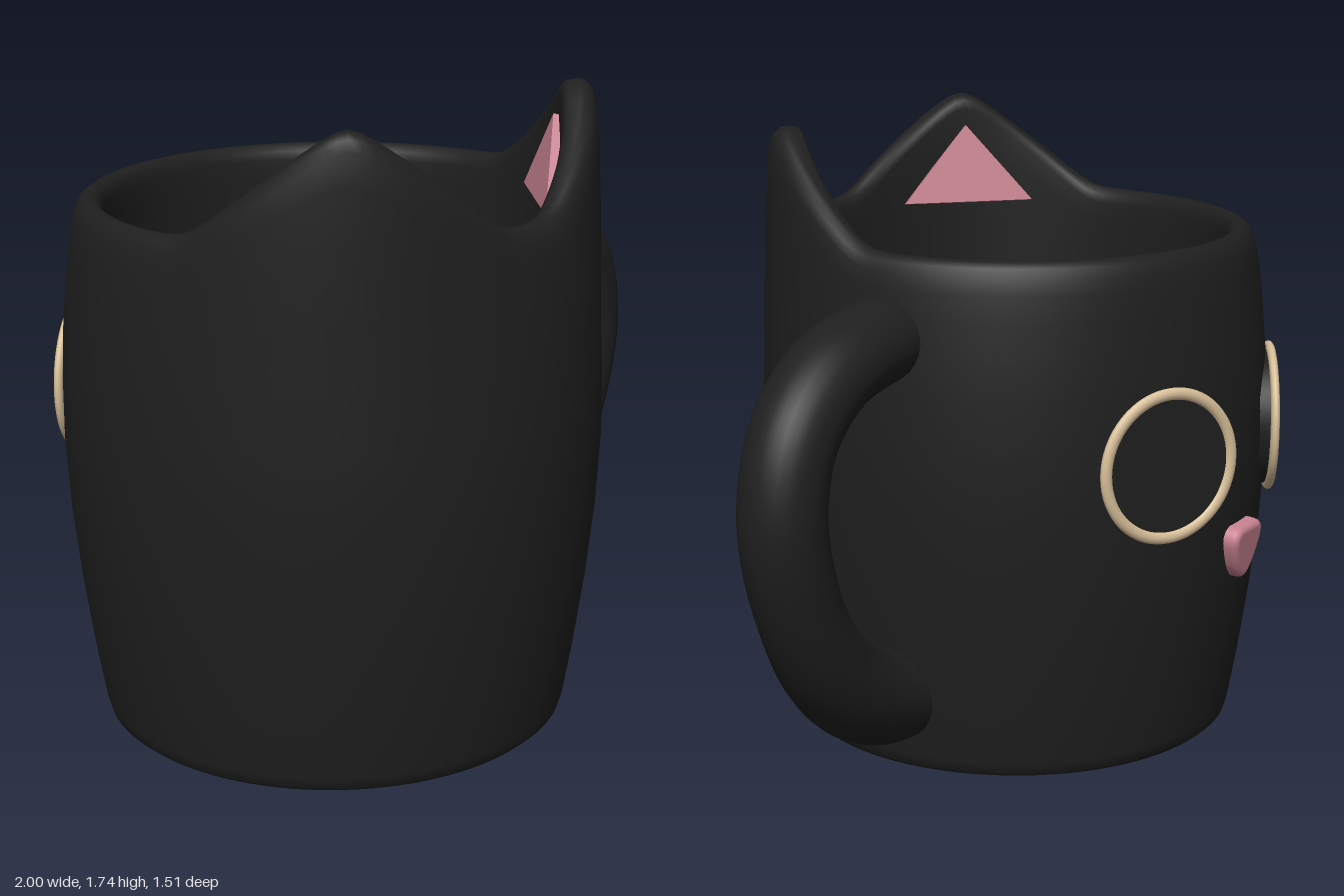
import * as THREE from 'three';
import { mergeVertices } from 'three/addons/utils/BufferGeometryUtils.js';

const mat = (name, color) => {
  const m = new THREE.MeshStandardMaterial({ color });
  m.name = name;
  return m;
};
const black = mat('matte black', 0x1f1f1f);
const tan = mat('tan', 0xd9c09a);
const pink = mat('dusty pink', 0xc98391);

const mesh = (name, geometry, material, parent) => {
  const m = new THREE.Mesh(geometry, material);
  m.name = name;
  parent.add(m);
  return m;
};

// Merge seams so that computed normals are smooth all round
function smooth(geometry) {
  geometry.deleteAttribute('uv');
  geometry.deleteAttribute('normal');
  const g = mergeVertices(geometry, 1e-4);
  g.computeVertexNormals();
  return g;
}

// Height fraction of the ears at an angle from +z: a rounded peak at 45 degrees each side
function earBump(phi) {
  const t = (Math.abs(phi) - Math.PI / 4) / THREE.MathUtils.degToRad(37);
  const s = 1 - Math.sqrt(t * t + 0.01);
  return (s + Math.sqrt(s * s + 0.01)) / 2 / 0.903;
}

// Hollow barrel whose rim is lifted into two ears
function cupGeometry() {
  const profile = [
    [0, 0], [0.3, 0], [0.6, 0], [0.622, 0.004], [0.638, 0.018], [0.647, 0.05],
    [0.672, 0.2], [0.7, 0.4], [0.721, 0.6], [0.732, 0.8], [0.731, 0.95], [0.724, 1.1],
    [0.715, 1.2], [0.704, 1.3], [0.694, 1.37], [0.685, 1.41], [0.672, 1.438],
    [0.655, 1.451], [0.64, 1.454], [0.624, 1.449], [0.612, 1.434], [0.607, 1.41],
    [0.605, 1.36], [0.604, 1.25], [0.604, 1.1], [0.6, 0.8], [0.585, 0.4], [0.565, 0.18],
    [0.55, 0.13], [0.52, 0.1], [0.3, 0.1], [0, 0.1],
  ].map(([r, y]) => new THREE.Vector2(r, y));
  const g = new THREE.LatheGeometry(profile, 144);
  const p = g.attributes.position;
  for (let i = 0; i < p.count; i++) {
    const x = p.getX(i), y = p.getY(i), z = p.getZ(i);
    const lift = earBump(Math.atan2(x, z)) * THREE.MathUtils.clamp((y - 1.1) / 0.31, 0, 1);
    const r = Math.hypot(x, z);
    const k = r > 0.63 ? 1 + 0.025 * lift : 1;
    p.setXYZ(i, x * k, y + 0.29 * lift, z * k);
  }
  return smooth(g);
}

// Curved grip, a little thicker where it joins the cup
function handleGeometry() {
  const path = new THREE.CatmullRomCurve3([
    [0.38, 1.232], [0.47, 1.232], [0.68, 1.185], [0.83, 1.06], [0.885, 0.875],
    [0.85, 0.67], [0.74, 0.45], [0.6, 0.31], [0.46, 0.24], [0.37, 0.225],
  ].map(([x, y]) => new THREE.Vector3(x, y, 0)));
  const rows = 64, sides = 28;
  const g = new THREE.TubeGeometry(path, rows, 0.116, sides);
  const p = g.attributes.position, v = new THREE.Vector3();
  for (let i = 0; i < p.count; i++) {
    const t = Math.floor(i / (sides + 1)) / rows;
    const c = path.getPointAt(t);
    const low = THREE.MathUtils.smoothstep(t, 0.6, 0.92);
    const high = 1 - THREE.MathUtils.smoothstep(t, 0.1, 0.4);
    v.fromBufferAttribute(p, i).sub(c).multiplyScalar(1 + 0.17 * low);
    v.z *= 1 + 0.1 * high;
    v.add(c);
    p.setXYZ(i, v.x, v.y, v.z);
  }
  return smooth(g);
}

// Soft inverted triangle
function noseGeometry() {
  const s = new THREE.Shape();
  s.moveTo(-0.05, 0.062);
  s.lineTo(0.05, 0.062);
  s.quadraticCurveTo(0.074, 0.058, 0.066, 0.03);
  s.quadraticCurveTo(0.045, -0.035, 0.012, -0.06);
  s.quadraticCurveTo(0, -0.066, -0.012, -0.06);
  s.quadraticCurveTo(-0.045, -0.035, -0.066, 0.03);
  s.quadraticCurveTo(-0.074, 0.058, -0.05, 0.062);
  return smooth(new THREE.ExtrudeGeometry(s, {
    depth: 0.03, bevelEnabled: true, bevelSize: 0.018, bevelThickness: 0.02, bevelSegments: 5, curveSegments: 8,
  }));
}

export function createModel() {
  const model = new THREE.Group();
  model.name = 'catMug';
  const cup = new THREE.Group();
  cup.name = 'cup';
  cup.position.set(-0.268, 0, 0.015);
  model.add(cup);

  mesh('cupBody', cupGeometry(), black, cup);
  mesh('handle', handleGeometry(), black, model).position.z = 0.022;

  // Inner ear triangle, front face at z = 0
  const tri = new THREE.Shape([[-0.2, 0], [0.2, 0], [0, 0.235]].map(([x, y]) => new THREE.Vector2(x, y)));
  const innerEar = new THREE.ExtrudeGeometry(tri, { depth: 0.05, bevelEnabled: false }).translate(0, 0, -0.05);
  const ring = new THREE.TorusGeometry(0.199, 0.017, 12, 64).scale(1, 1, 0.75);
  const disc = new THREE.CylinderGeometry(0.197, 0.197, 0.045, 64).rotateX(Math.PI / 2).translate(0, 0, -0.02);

  for (const side of [-1, 1]) {
    const label = side > 0 ? 'left' : 'right';

    const ear = mesh(label + 'InnerEar', innerEar, pink, cup);
    const phi = side * Math.PI / 4;
    ear.position.set(0.545 * Math.sin(phi), 1.42, 0.545 * Math.cos(phi));
    ear.rotation.set(-0.2, phi + Math.PI, 0, 'YXZ');

    const eye = new THREE.Group();
    eye.name = label + 'Eye';
    eye.position.set(side * 0.321, 0.893, -0.664);
    eye.rotation.y = Math.PI - side * Math.PI / 6;
    cup.add(eye);
    mesh('eyeRing', ring, tan, eye);
    mesh('eyeDisc', disc, black, eye);
  }

  // Nose on the face side, leaning with the wall
  const nose = mesh('nose', noseGeometry(), pink, cup);
  nose.position.set(-0.007, 0.585, -0.708);
  nose.rotation.set(0.12, Math.PI, 0, 'YXZ');
  nose.scale.z = 0.95;
  return model;
}
